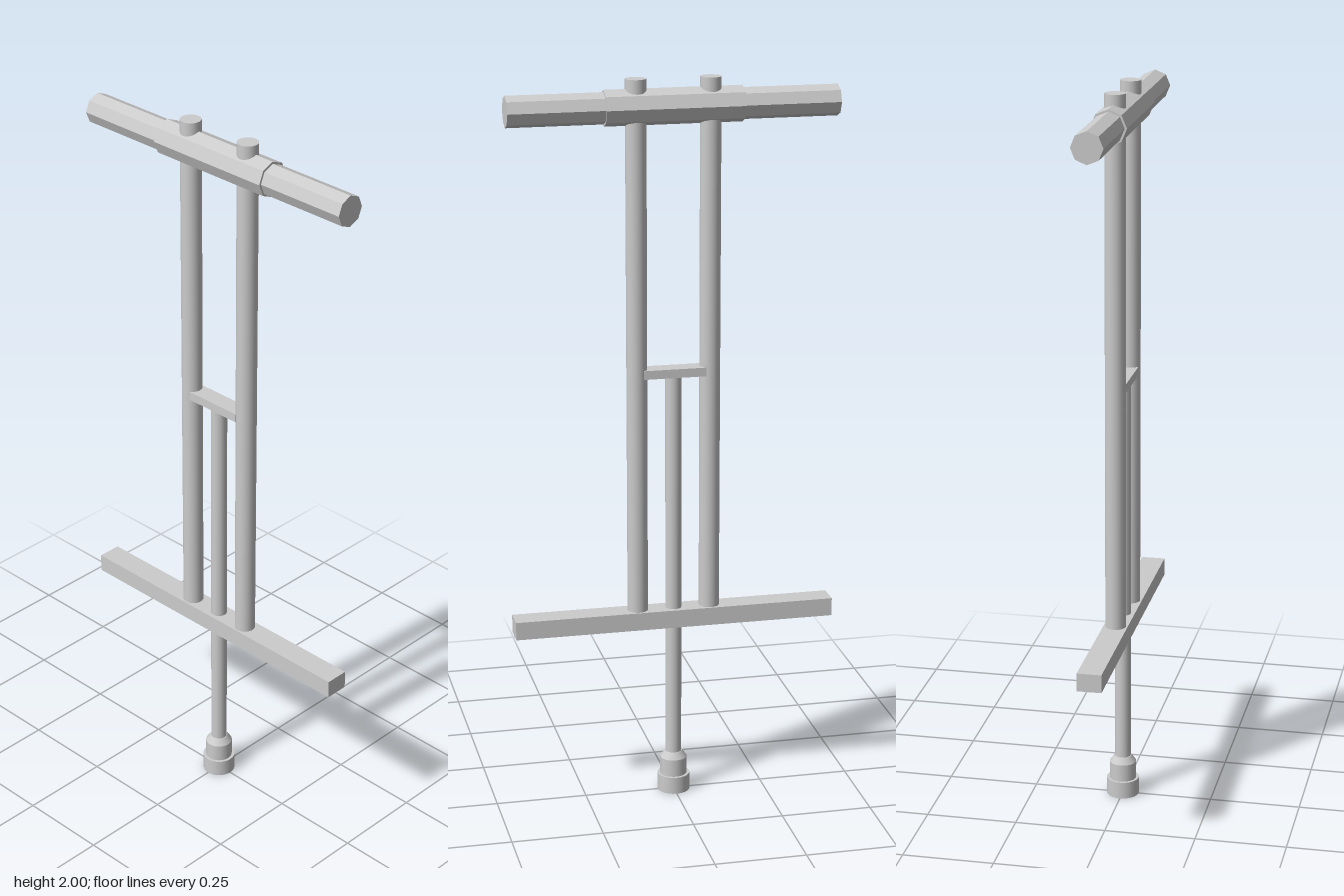
import * as THREE from 'three';

export function createModel() {
  const model = new THREE.Group();
  const smooth = new THREE.MeshStandardMaterial({ color: 0xcccccc });
  const faceted = new THREE.MeshStandardMaterial({ color: 0xcccccc, flatShading: true });

  function add(name, geometry, material, x, y) {
    const mesh = new THREE.Mesh(geometry, material);
    mesh.name = name;
    mesh.position.set(x, y, 0);
    model.add(mesh);
  }

  // upright round rod between two heights
  function rod(name, radius, x, y0, y1) {
    add(name, new THREE.CylinderGeometry(radius, radius, y1 - y0, 24), smooth, x, (y0 + y1) / 2);
  }

  // octagonal bar lying along x
  function bar(name, radius, x0, x1) {
    const geometry = new THREE.CylinderGeometry(radius, radius, x1 - x0, 8).rotateZ(Math.PI / 2);
    add(name, geometry, faceted, (x0 + x1) / 2, 1.926);
  }

  // handlebar: thick middle sleeve and a grip on each side
  bar('handlebarSleeve', 0.048, -0.185, 0.185);
  bar('rightGrip', 0.042, -0.443, -0.18);
  bar('leftGrip', 0.042, 0.18, 0.443);

  // twin frame posts
  rod('rightPost', 0.028, -0.1, 0.53, 2);
  rod('leftPost', 0.028, 0.1, 0.53, 2);

  // brace between the posts, and the footrest
  add('crossBrace', new THREE.BoxGeometry(0.17, 0.024, 0.05), faceted, 0, 1.211);
  add('footrest', new THREE.BoxGeometry(0.886, 0.05, 0.066), faceted, 0, 0.516);

  // central plunger
  rod('plunger', 0.022, 0, 0.09, 1.205);

  // stepped rubber tip, each section built separately to keep its edges sharp
  const tip = [
    [0.045, 0.045, 0, 0.048],
    [0.037, 0.037, 0.048, 0.097],
    [0.037, 0.024, 0.097, 0.115],
  ];
  tip.forEach(([bottom, top, y0, y1], i) => {
    const geometry = new THREE.CylinderGeometry(top, bottom, y1 - y0, 24);
    add(['tipBase', 'tipCollar', 'tipShoulder'][i], geometry, smooth, 0, (y0 + y1) / 2);
  });

  return model;
}
